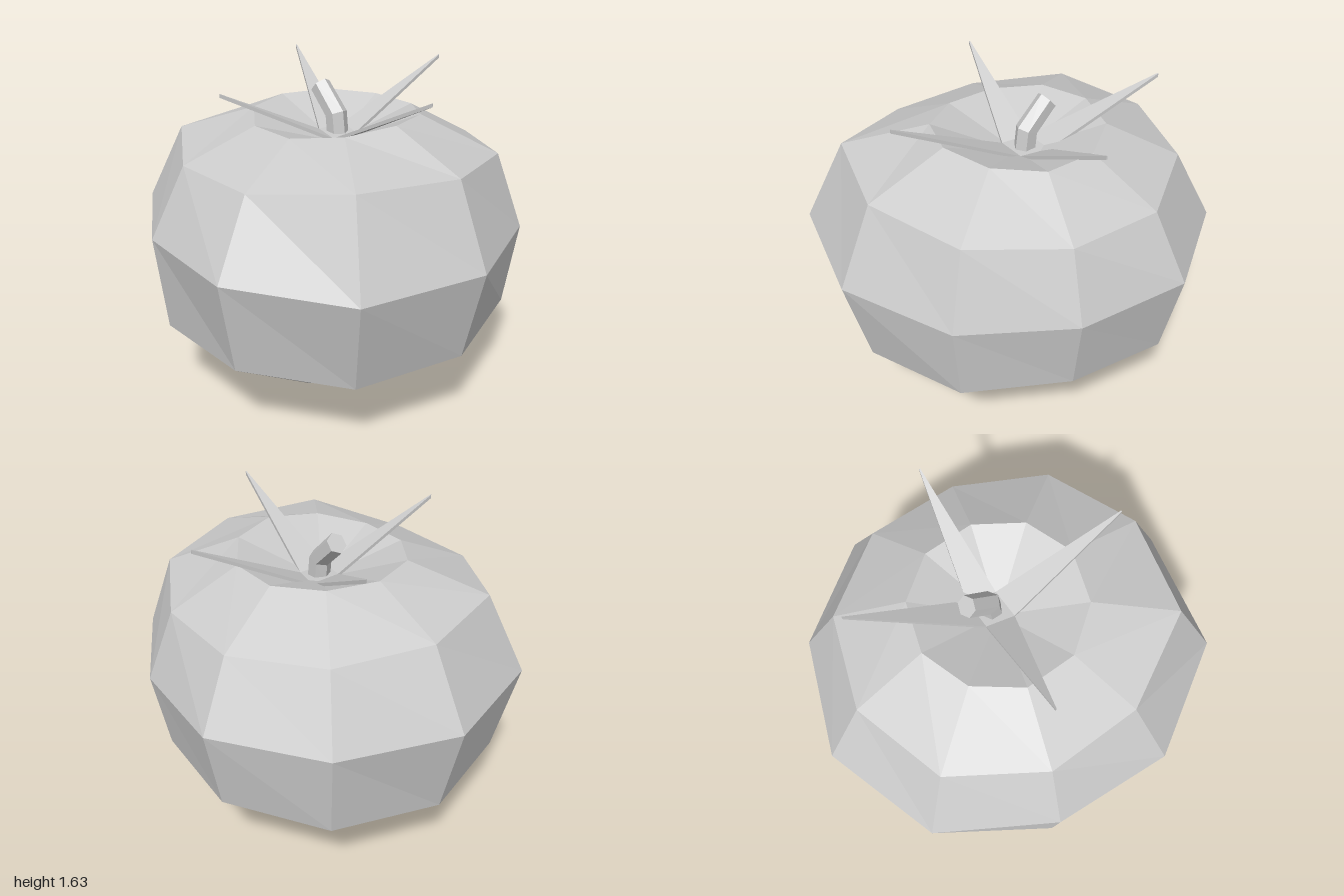
import * as THREE from 'three';

const V = (x, y, z) => new THREE.Vector3(x, y, z);

// Skins a stack of rings; optional centre points close the two ends.
function skin(name, rings, startCentre, endCentre) {
  const pts = [];
  const n = rings[0].length;
  for (let i = 0; i < rings.length - 1; i++) {
    for (let k = 0; k < n; k++) {
      const m = (k + 1) % n;
      const a = rings[i][k], b = rings[i][m], c = rings[i + 1][m], d = rings[i + 1][k];
      pts.push(a, d, c, a, c, b);
    }
  }
  const last = rings[rings.length - 1];
  for (let k = 0; k < n; k++) {
    const m = (k + 1) % n;
    if (startCentre) pts.push(startCentre, rings[0][k], rings[0][m]);
    if (endCentre) pts.push(endCentre, last[m], last[k]);
  }
  const geometry = new THREE.BufferGeometry().setFromPoints(pts);
  geometry.computeVertexNormals();
  const material = new THREE.MeshStandardMaterial({ color: 0xcccccc, flatShading: true });
  const mesh = new THREE.Mesh(geometry, material);
  mesh.name = name;
  return mesh;
}

// Ten-sided ring with a radius and height for each corner.
function fruitRing(radii, heights) {
  return heights.map((y, k) => {
    const a = (k / 10) * Math.PI * 2;
    const r = Array.isArray(radii) ? radii[k] : radii;
    return V(r * Math.cos(a), y, r * Math.sin(a) - 0.03);
  });
}

// Six-sided ring of the stem, leaning toward -x by the tilt.
function stemRing(x, y, tilt, radius) {
  return Array.from({ length: 6 }, (_, k) => {
    const a = (k / 6) * Math.PI * 2;
    const u = radius * Math.cos(a);
    return V(x + u * Math.cos(tilt), y + u * Math.sin(tilt), -0.06 + radius * Math.sin(a));
  });
}

export function createModel() {
  const group = new THREE.Group();
  group.name = 'tomato';

  // Fruit: uneven faceted body with a dimple on top
  const rings = [
    fruitRing(0.285, [0.085, 0.05, 0.02, 0, 0.02, 0.045, 0.065, 0.07, 0.09, 0.09]),
    fruitRing([0.89, 0.92, 0.905, 0.905, 0.9, 0.89, 0.89, 0.855, 0.815, 0.875],
      [0.455, 0.435, 0.445, 0.44, 0.45, 0.44, 0.46, 0.48, 0.51, 0.495]),
    fruitRing([1, 1.06, 1, 0.955, 1.01, 1, 0.965, 0.945, 0.885, 0.935],
      [0.92, 0.92, 0.92, 0.92, 0.92, 0.92, 0.92, 0.92, 0.91, 0.915]),
    fruitRing([0.82, 0.85, 0.775, 0.78, 0.815, 0.79, 0.78, 0.765, 0.75, 0.8],
      [1.32, 1.34, 1.27, 1.27, 1.31, 1.29, 1.27, 1.25, 1.25, 1.285]),
    fruitRing(0.42, [1.467, 1.445, 1.42, 1.42, 1.44, 1.445, 1.445, 1.435, 1.435, 1.455]),
  ];
  group.add(skin('fruit', rings, V(0, 0.06, -0.03), V(0, 1.29, -0.03)));

  // Sepals: four thin spikes spreading from a small square base
  const base = [V(0.05, 1.31, -0.12), V(0.05, 1.31, 0.03), V(-0.09, 1.32, 0), V(-0.09, 1.32, -0.16)];
  const tips = [V(0.66, 1.63, 0), V(-0.13, 1.61, 0.56), V(-0.63, 1.63, -0.3), V(0.05, 1.63, -0.71)];
  const thickness = V(0, 0.018, 0);
  const band = (p, q) => [q.clone().add(thickness), p.clone().add(thickness), p, q];
  tips.forEach((tip, i) => {
    const p = base[i], q = base[(i + 1) % 4];
    const half = q.clone().sub(p).multiplyScalar(0.02);
    const low = tip.clone().sub(thickness);
    const end = band(low.clone().sub(half), low.clone().add(half));
    group.add(skin('sepal', [band(p, q), end], null, tip));
  });

  // Calyx: flat plate joining the sepals
  const plate = [base.map((p) => p.clone()), base.map((p) => p.clone().add(thickness))];
  group.add(skin('calyx', plate, V(-0.02, 1.315, -0.06), V(-0.02, 1.333, -0.06)));

  // Stem: short bent stalk
  const stem = [
    stemRing(-0.015, 1.29, 0, 0.055),
    stemRing(-0.03, 1.42, 0.4, 0.055),
    stemRing(-0.15, 1.54, 0.85, 0.052),
  ];
  group.add(skin('stem', stem, null, V(-0.15, 1.54, -0.06)));

  return group;
}
